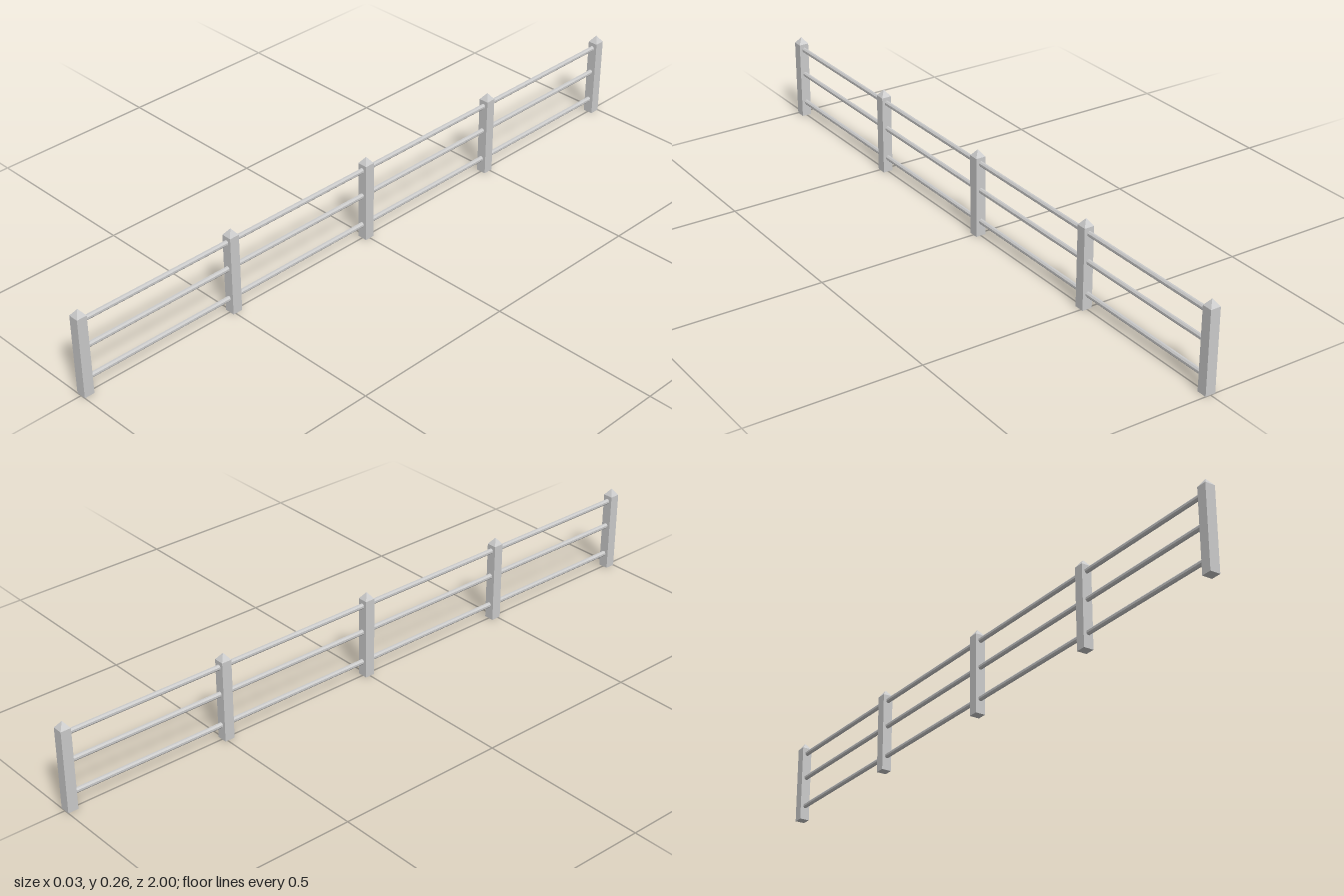
import * as THREE from 'three';

const POST_WIDTH = 0.03;
const POST_HEIGHT = 0.24;
const CAP_HEIGHT = 0.02;
const SPACING = 0.4925;
const RAIL_HEIGHTS = [0.045, 0.14, 0.222];

export function createModel() {
  const fence = new THREE.Group();
  fence.name = 'railFence';
  const material = new THREE.MeshStandardMaterial({ color: 0xcccccc, flatShading: true });

  const add = (parent, geometry, name, x, y, z) => {
    const mesh = new THREE.Mesh(geometry, material);
    mesh.name = name;
    mesh.position.set(x, y, z);
    parent.add(mesh);
  };

  // Square post with a pyramid top
  const shaft = new THREE.BoxGeometry(POST_WIDTH, POST_HEIGHT, POST_WIDTH);
  const cap = new THREE.ConeGeometry(POST_WIDTH / Math.SQRT2, CAP_HEIGHT, 4, 1, true);
  cap.rotateY(Math.PI / 4);

  // Slim rail running along z between two posts
  const rail = new THREE.CylinderGeometry(0.008, 0.008, SPACING - POST_WIDTH + 0.004, 8);
  rail.rotateY(Math.PI / 8);
  rail.rotateX(Math.PI / 2);
  rail.scale(0.85, 1, 1);

  // Five evenly spaced posts
  for (let i = -2; i <= 2; i++) {
    const post = new THREE.Group();
    post.name = 'post';
    post.position.z = i * SPACING;
    add(post, shaft, 'postShaft', 0, POST_HEIGHT / 2, 0);
    add(post, cap, 'postCap', 0, POST_HEIGHT + CAP_HEIGHT / 2, 0);
    fence.add(post);
  }

  // Three rails in each of the four bays
  for (let i = -2; i < 2; i++) {
    for (const y of RAIL_HEIGHTS) add(fence, rail, 'rail', 0, y, (i + 0.5) * SPACING);
  }

  return fence;
}
